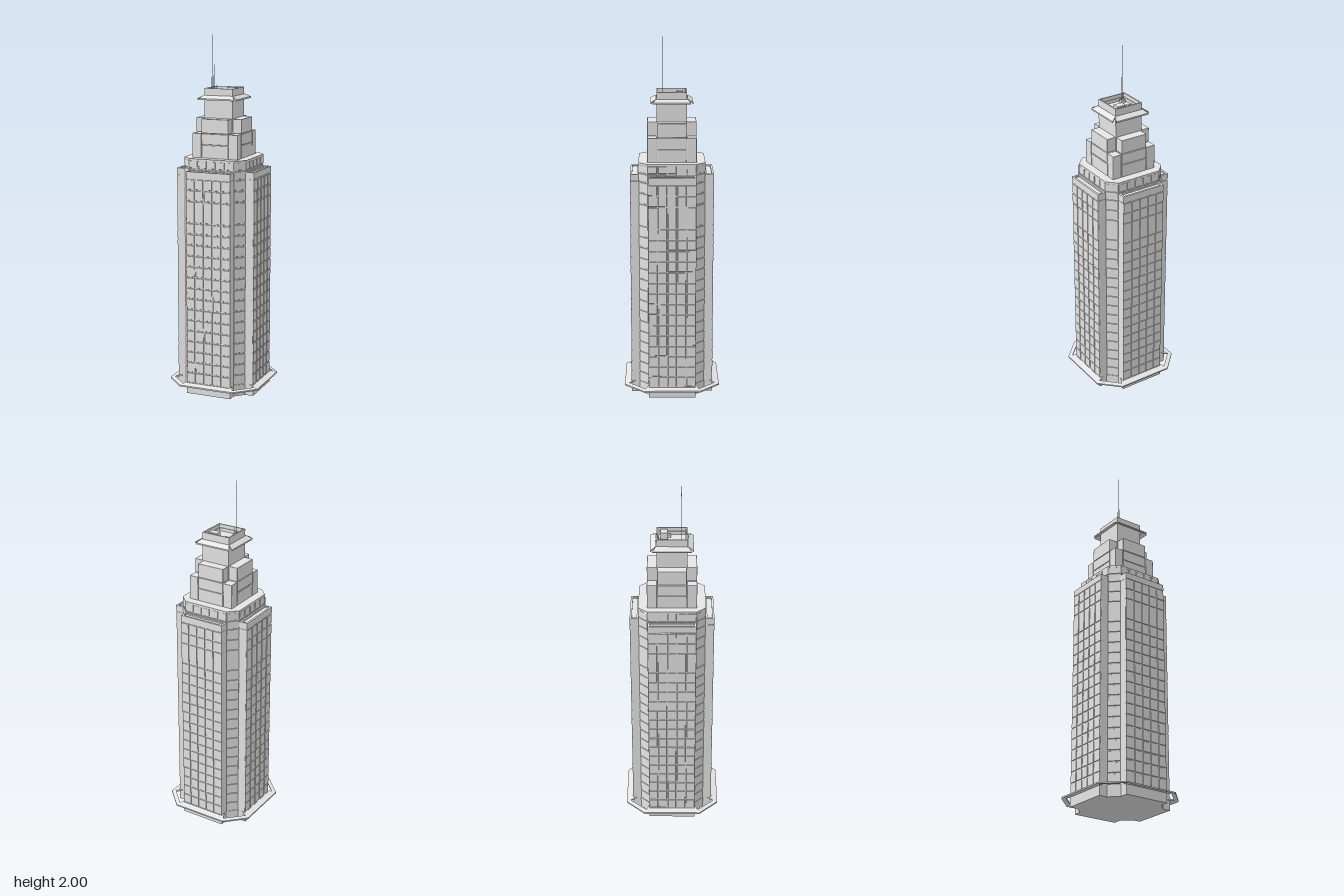
import * as THREE from 'three';
import { RoundedBoxGeometry } from 'three/addons/geometries/RoundedBoxGeometry.js';

const concrete = new THREE.MeshStandardMaterial({ color: 0xe5e5e5 });
concrete.name = 'pale concrete';

function add(parent, name, geo, x = 0, y = 0, z = 0) {
  const m = new THREE.Mesh(geo, concrete);
  m.name = name;
  m.position.set(x, y, z);
  parent.add(m);
  return m;
}

// Box given by its ranges on each axis, with optionally softened edges
function block(parent, name, x0, x1, y0, y1, z0, z1, soft = 0) {
  const size = [x1 - x0, y1 - y0, z1 - z0];
  const geo = soft ? new RoundedBoxGeometry(...size, 1, soft) : new THREE.BoxGeometry(...size);
  return add(parent, name, geo, (x0 + x1) / 2, (y0 + y1) / 2, (z0 + z1) / 2);
}

// Upright prism from a plan outline, with an optional hole
function prism(pts, height, hole) {
  const toVec = (p) => new THREE.Vector2(p[0], p[1]);
  const shape = new THREE.Shape(pts.map(toVec));
  if (hole) shape.holes.push(new THREE.Path(hole.map(toVec)));
  const g = new THREE.ExtrudeGeometry(shape, { depth: height, bevelEnabled: false });
  return g.rotateX(-Math.PI / 2);
}
const rect = (w, d) => [[-w, -d], [w, -d], [w, d], [-w, d]];
const octagon = (a, c) => [[-c, -a], [c, -a], [a, -c], [a, c], [c, a], [-c, a], [-a, c], [-a, -c]];

// Sloping canopy panel: outer edge and inner edge are [half width, z, y]
function slope(parent, name, outer, inner, thick) {
  const g = new THREE.BoxGeometry(1, 1, 1);
  const p = g.attributes.position;
  for (let i = 0; i < p.count; i++) {
    const [w, z, y] = p.getZ(i) > 0 ? outer : inner;
    p.setXYZ(i, Math.sign(p.getX(i)) * w, y + (p.getY(i) > 0 ? thick : 0), z);
  }
  g.computeVertexNormals();
  return add(parent, name, g);
}

// Facing panel with bevelled edges: its front is slightly smaller than its back
function panel(parent, x0, x1, y0, y1, z, depth = 0.004, bevel = 0.002) {
  const w = (x1 - x0) / 2, h = (y1 - y0) / 2;
  const g = new THREE.BoxGeometry(1, 1, 1);
  const p = g.attributes.position;
  for (let i = 0; i < p.count; i++) {
    const front = p.getZ(i) > 0;
    const inset = front ? bevel : 0;
    p.setXYZ(i, Math.sign(p.getX(i)) * (w - inset), Math.sign(p.getY(i)) * (h - inset), front ? 0 : -depth);
  }
  g.computeVertexNormals();
  add(parent, 'panel', g, (x0 + x1) / 2, (y0 + y1) / 2, z);
}

// Recessed backing with raised panels between the given column and row lines
function facade(parent, name, cols, rows, z, gap = 0.005) {
  const g = new THREE.Group();
  g.name = name;
  parent.add(g);
  block(g, 'backing', cols[0], cols[cols.length - 1], rows[0], rows[rows.length - 1], z - 0.007, z - 0.003);
  for (let c = 0; c < cols.length - 1; c++) {
    for (let r = 0; r < rows.length - 1; r++) {
      const x0 = cols[c] + (c ? gap / 2 : 0);
      const x1 = cols[c + 1] - (c < cols.length - 2 ? gap / 2 : 0);
      panel(g, x0, x1, rows[r] + gap / 2, rows[r + 1] - gap / 2, z);
    }
  }
}

export function createModel() {
  const tower = new THREE.Group();
  tower.name = 'tower';

  // Main octagonal shaft and its roof slab
  add(tower, 'shaft', prism(octagon(0.176, 0.129), 1.325));
  add(tower, 'shaftRoof', prism(octagon(0.183, 0.132), 0.012), 0, 1.323);

  // Storey lines, with one double-height storey near the top
  const rows = [];
  for (let i = 0; i <= 19; i++) if (i !== 16) rows.push(0.064 + i * 0.0614);
  const cols = [-0.132, -0.079, -0.026, 0.026, 0.079, 0.132];

  for (let k = 0; k < 4; k++) {
    const side = new THREE.Group();
    side.name = 'side' + (k + 1);
    side.rotation.y = k * Math.PI / 2;
    tower.add(side);

    // Projecting wing with panelled front and hollow cap
    block(side, 'wing', -0.132, 0.132, 0, 1.231, 0.12, 0.2235);
    block(side, 'wingBase', -0.132, 0.132, 0, 0.064, 0.2, 0.23);
    facade(side, 'wingFacade', cols, rows, 0.23);
    block(side, 'wingCapGroove', -0.13, 0.13, 1.23, 1.237, 0.17, 0.2265);
    add(side, 'wingCap', prism(rect(0.131, 0.0245), 0.035, rect(0.12, 0.0135)), 0, 1.235, 0.2055);
    block(side, 'wingCapFloor', -0.122, 0.122, 1.237, 1.262, 0.188, 0.222);

    // Attic storey above the wing
    facade(side, 'atticFacade', cols, [1.235, 1.28, 1.327], 0.183);

    // Chamfered corner with a single column of panels
    const corner = new THREE.Group();
    corner.name = 'corner';
    corner.rotation.y = Math.PI / 4;
    side.add(corner);
    block(corner, 'cornerBase', -0.036, 0.036, 0, 0.064, 0.19, 0.2227);
    facade(corner, 'cornerFacade', [-0.036, 0.036], [...rows, 1.28, 1.327], 0.2227);

    // Street canopy: wide panel on the wing, bridge across the corner
    slope(side, 'canopy', [0.16, 0.267, 0.047], [0.134, 0.207, 0.058], 0.008);
    slope(corner, 'canopyBridge', [0.0757, 0.302, 0.047], [0.0707, 0.2786, 0.051], 0.008);

    // Setback tier: tall arm in three courses, lower corner block
    for (const [y0, y1] of [[1.332, 1.406], [1.409, 1.469], [1.471, 1.55]]) {
      block(side, 'tierArm', -0.079, 0.079, y0, y1, 0.07, 0.135, 0.003);
    }
    block(side, 'tierCorner', 0.081, 0.135, 1.332, 1.47, 0.081, 0.135, 0.003);

    // Collar around the crown
    slope(side, 'collar', [0.104, 0.116, 1.65], [0.086, 0.087, 1.666], 0.008);
  }

  // Core behind the tier blocks, then the upper core
  block(tower, 'tierCore', -0.131, 0.131, 1.33, 1.465, -0.131, 0.131);
  block(tower, 'upperCore', -0.083, 0.083, 1.465, 1.675, -0.083, 0.083);

  // Hollow crown with stepped rim
  add(tower, 'crownWall', prism(rect(0.083, 0.083), 0.04, rect(0.076, 0.076)), 0, 1.672);
  add(tower, 'crownStep', prism(rect(0.078, 0.078), 0.02, rect(0.071, 0.071)), 0, 1.672);

  // Roof skylight with six panes
  block(tower, 'skylightFrame', -0.058, -0.019, 1.67, 1.686, -0.06, -0.018);
  for (let i = 0; i < 2; i++) {
    for (let j = 0; j < 3; j++) {
      const x = -0.0565 + i * 0.0185, z = -0.0585 + j * 0.0135;
      block(tower, 'skylightPane', x, x + 0.0165, 1.68, 1.69, z, z + 0.0115);
    }
  }

  // Rooftop plant room with duct
  block(tower, 'plantRoom', 0.005, 0.058, 1.67, 1.712, -0.061, -0.024);
  block(tower, 'plantDuct', 0.031, 0.045, 1.67, 1.69, -0.024, -0.007);

  // Antenna base and masts: x, top, radius
  block(tower, 'antennaBase', -0.061, -0.034, 1.67, 1.69, 0.037, 0.059);
  for (const [x, top, r] of [[-0.055, 1.77, 0.0014], [-0.047, 2.0, 0.002], [-0.039, 1.84, 0.0014]]) {
    const h = top - 1.685;
    add(tower, 'antennaMast', new THREE.CylinderGeometry(r * 0.6, r, h, 8), x, 1.685 + h / 2, 0.049);
  }

  return tower;
}
